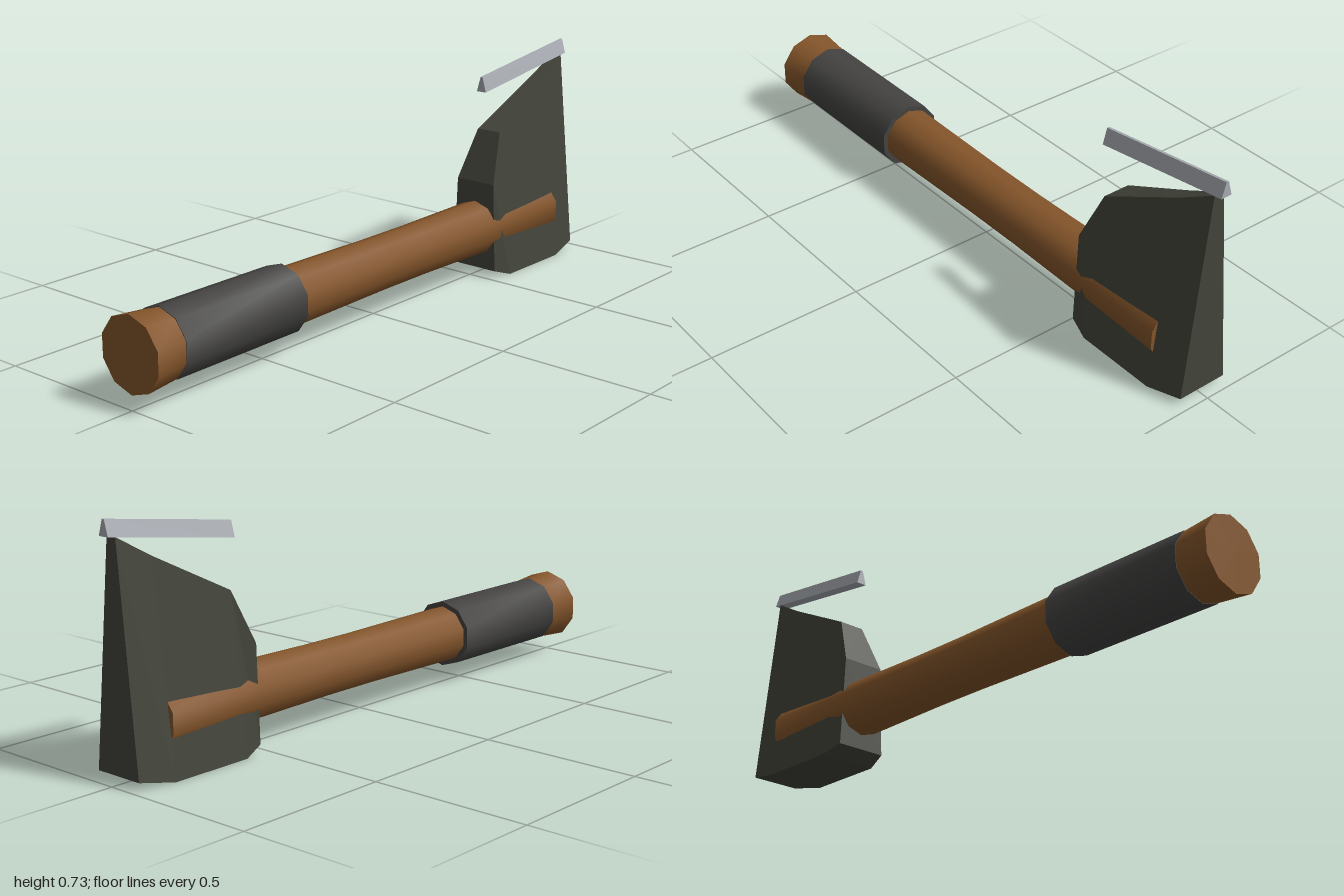
import * as THREE from 'three';
import { toCreasedNormals } from 'three/addons/utils/BufferGeometryUtils.js';

const AXIS_Y = 0.163;

// Ten-sided turned part along x; profile is a list of [x, radius], closed at both ends
function turned(name, profile, color) {
  const first = profile[0][0], last = profile[profile.length - 1][0];
  const points = [[first, 0], ...profile, [last, 0]].map(([x, r]) => new THREE.Vector2(r, x));
  const geometry = new THREE.LatheGeometry(points, 10, Math.PI / 2).rotateZ(-Math.PI / 2);
  const mesh = new THREE.Mesh(
    toCreasedNormals(geometry, 0.7),
    new THREE.MeshStandardMaterial({ color })
  );
  mesh.name = name;
  mesh.position.y = AXIS_Y;
  return mesh;
}

// Faceted solid through trapezoid sections: [x, bottomY, bottomHalfWidth, topY, topHalfWidth]
function faceted(name, sections, color) {
  const positions = [];
  const index = [];
  for (const [x, y0, w0, y1, w1] of sections) {
    positions.push(x, y0, w0, x, y0, -w0, x, y1, -w1, x, y1, w1);
  }
  for (let s = 0; s < sections.length - 1; s++) {
    for (let i = 0; i < 4; i++) {
      const a = s * 4 + i, b = s * 4 + (i + 1) % 4;
      index.push(a, b, b + 4, a, b + 4, a + 4);
    }
  }
  const e = (sections.length - 1) * 4;
  index.push(0, 2, 1, 0, 3, 2, e, e + 1, e + 2, e, e + 2, e + 3);

  let geometry = new THREE.BufferGeometry();
  geometry.setAttribute('position', new THREE.Float32BufferAttribute(positions, 3));
  geometry.setIndex(index);
  geometry = geometry.toNonIndexed();
  geometry.computeVertexNormals();
  const mesh = new THREE.Mesh(
    geometry,
    new THREE.MeshStandardMaterial({ color, flatShading: true })
  );
  mesh.name = name;
  return mesh;
}

export function createModel() {
  const group = new THREE.Group();
  group.name = 'axe';

  // Wooden shaft, flared at the pommel and where it passes through the head
  group.add(turned('handle', [
    [-1, 0.116], [-0.88, 0.105], [-0.41, 0.091], [0, 0.0855], [0.2, 0.0855], [0.52, 0.09], [0.86, 0.099],
  ], 0x84552a));

  // Dark wrap around the lower shaft
  group.add(turned('grip', [[-0.89, 0.108], [-0.41, 0.107]], 0x444342));

  // Wedge-shaped head with bevelled ends
  group.add(faceted('head', [
    [0.522, 0.025, 0.085, 0.32, 0.073],
    [0.59, 0.002, 0.1, 0.48, 0.044],
    [0.86, 0.002, 0.1, 0.615, 0.026],
    [0.975, 0.025, 0.082, 0.68, 0.017],
  ], 0x43453b));

  // Sharpened strip above the head
  group.add(faceted('cuttingEdge', [
    [0.545, 0.618, 0.018, 0.667, 0.004],
    [1, 0.682, 0.018, 0.729, 0.004],
  ], 0xa9adb3));

  return group;
}
